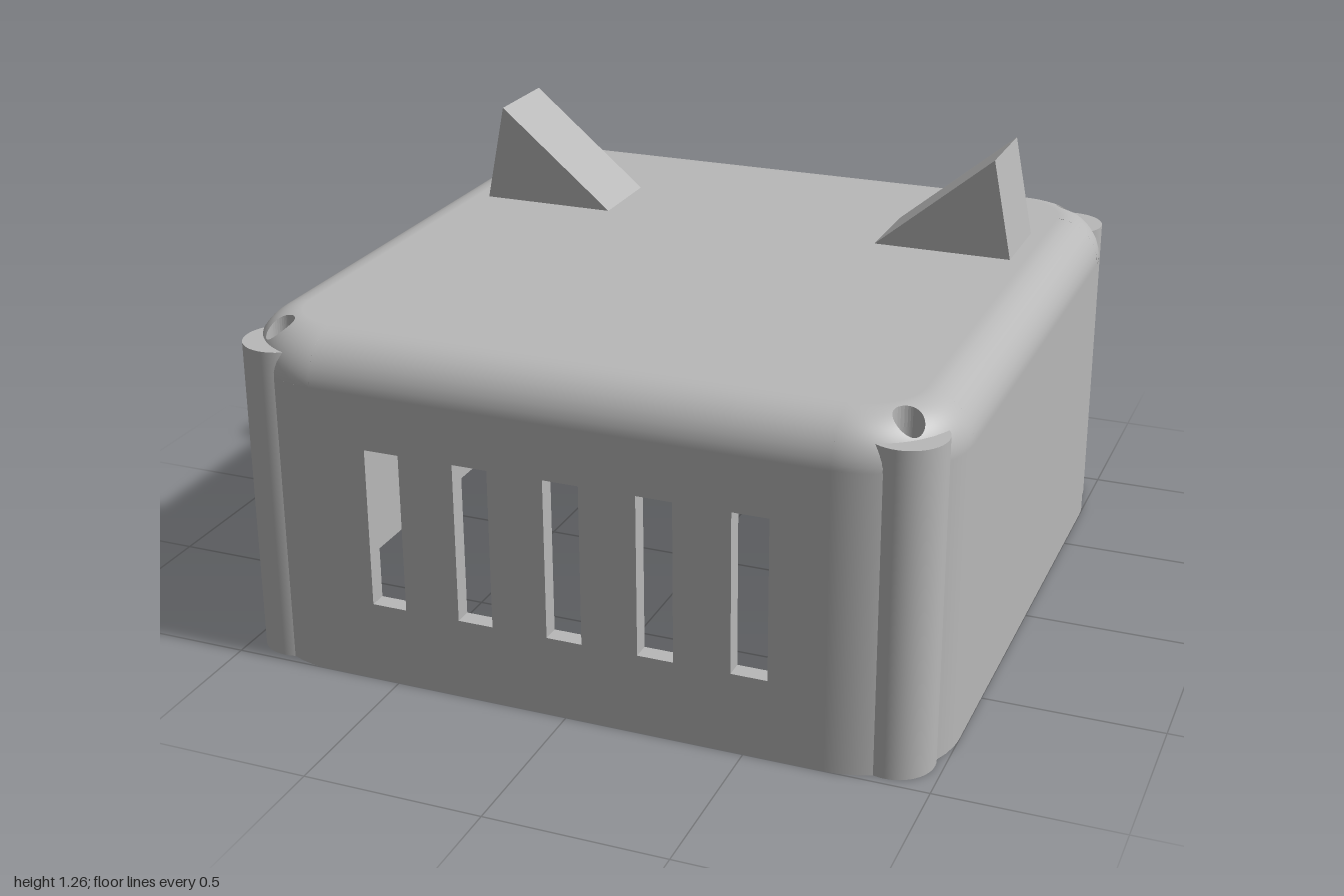
import * as THREE from 'three';
import { mergeGeometries } from 'three/addons/utils/BufferGeometryUtils.js';

const C = 0.72, R = 0.28, F = 0.13;          // corner centre, corner radius, top edge radius
const Y1 = 0.84, YC = 0.91, YT = 0.97;       // wall top, ceiling, roof
const T = 0.05;                              // wall thickness
const POST = 0.873, HOLE = 0.04;             // post centre, screw hole radius
const SLOT = { x: 0.45, z0: -0.945, z1: -0.902 };
const rad = Math.PI / 180;

const V = (x, y, z) => new THREE.Vector3(x, y, z);
const dir = (deg) => V(Math.sin(deg * rad), 0, Math.cos(deg * rad)); // 0 = front, 90 = +x

// Collects quads, with smooth normals if given and flat ones otherwise
function quadBuilder() {
  const pos = [], nor = [];
  return {
    quad(pts, normals) {
      const flat = pts[2].clone().sub(pts[0]).cross(pts[3].clone().sub(pts[1])).normalize();
      for (const i of [0, 1, 2, 0, 2, 3]) {
        pos.push(...pts[i].toArray());
        nor.push(...(normals ? normals[i] : flat).toArray());
      }
    },
    geometry() {
      const g = new THREE.BufferGeometry();
      g.setAttribute('position', new THREE.Float32BufferAttribute(pos, 3));
      g.setAttribute('normal', new THREE.Float32BufferAttribute(nor, 3));
      return g;
    },
  };
}

// Point on side k at distance t along it (t = 0 is the middle)
const sidePoint = (k, t, out) => dir(k * 90).multiplyScalar(out).addScaledVector(dir(k * 90 + 90), t);
const cornerCentre = (k) => sidePoint(k, C, C);

// Hollow walls, with front vents, side port, and gaps where the posts stand
function wallGeometry() {
  const b = quadBuilder();
  const ys = [0, 0.08, 0.23, 0.24, 0.685, Y1];
  const vents = [-2, -1, 0, 1, 2].map((i) => i * 0.2575);
  const breaks = [vents.flatMap((c) => [c - 0.05, c + 0.05]), [], [], [-0.47]];
  const arc = [0, 5, 10, 18, 26.5, 63.5, 72, 80, 85, 90];
  const ring = [];
  for (let k = 0; k < 4; k++) {
    for (const t of [-C, ...breaks[k]]) ring.push({ k, t, p: sidePoint(k, t, 1), n: dir(k * 90) });
    for (const a of arc.slice(0, -1)) {
      const n = dir(k * 90 + a);
      ring.push({ k, a, p: cornerCentre(k).addScaledVector(n, R), n });
    }
  }
  const N = ring.length;
  const solid = (i, j) => {
    if (j < 0) return false;
    if (j > ys.length - 2) return true;
    const { k, t, a } = ring[(i + N) % N];
    const y = (ys[j] + ys[j + 1]) / 2;
    if (a === 26.5) return false;
    if (k === 0 && a === undefined && y > 0.23 && y < 0.685 && vents.some((c) => Math.abs(t - c + 0.05) < 1e-6)) return false;
    const port = (k === 2 && a >= 80) || (k === 3 && t === -C);
    return !(port && y > 0.08 && y < 0.24);
  };
  const outer = (i, j) => ring[i % N].p.clone().setY(ys[j]);
  const inner = (i, j) => ring[i % N].p.clone().addScaledVector(ring[i % N].n, -T).setY(ys[j] === Y1 ? YC : ys[j]);
  for (let i = 0; i < N; i++) for (let j = 0; j < ys.length - 1; j++) {
    if (!solid(i, j)) continue;
    const n0 = ring[i].n, n1 = ring[(i + 1) % N].n, m0 = n0.clone().negate(), m1 = n1.clone().negate();
    const c = [[i, j], [i + 1, j], [i + 1, j + 1], [i, j + 1]];
    b.quad(c.map((q) => outer(...q)), [n0, n1, n1, n0]);
    b.quad([c[1], c[0], c[3], c[2]].map((q) => inner(...q)), [m1, m0, m0, m1]);
    // edges of openings and the bottom rim
    [[i, j - 1], [i + 1, j], [i, j + 1], [i - 1, j]].forEach((nb, e) => {
      if (solid(...nb)) return;
      const p = c[e], q = c[(e + 1) % 4];
      b.quad([outer(...q), outer(...p), inner(...p), inner(...q)]);
    });
  }
  return b.geometry();
}

// Rounded top edge with the rear slot and four screw holes
function edgeGeometry() {
  const b = quadBuilder();
  const slotA = Math.acos(1 - (1 + SLOT.z0) / F) / rad, slotB = Math.acos(1 - (1 + SLOT.z1) / F) / rad;
  const phis = [0, 11, 22, 33, 44, slotA, 65, slotB, 90];
  const ts = [-C, -SLOT.x, SLOT.x, C];
  const normal = (deg, phi) => dir(deg).multiplyScalar(Math.cos(phi * rad)).setY(Math.sin(phi * rad));
  const skirt = (p, q) => b.quad([p, q, q.clone().setY(YC), p.clone().setY(YC)]);

  for (let k = 0; k < 4; k++) {
    // straight run
    const P = (t, phi) => sidePoint(k, t, 1 - F + F * Math.cos(phi * rad)).setY(Y1 + F * Math.sin(phi * rad));
    for (let i = 0; i < 3; i++) for (let j = 0; j < phis.length - 1; j++) {
      const [t0, t1, f0, f1] = [ts[i], ts[i + 1], phis[j], phis[j + 1]];
      if (k === 2 && i === 1 && f0 >= slotA && f1 <= slotB) {
        skirt(P(t0, f0), P(t0, f1));
        skirt(P(t1, f1), P(t1, f0));
        if (f0 === slotA) skirt(P(t1, f0), P(t0, f0));
        if (f1 === slotB) skirt(P(t0, f1), P(t1, f1));
        continue;
      }
      const n0 = normal(k * 90, f0), n1 = normal(k * 90, f1);
      b.quad([P(t0, f0), P(t1, f0), P(t1, f1), P(t0, f1)], [n0, n0, n1, n1]);
    }

    // corner patch, spanned from its border to the screw hole
    const S = 12, K = 6, hr = (POST - C) * Math.SQRT2;
    const hc = Math.acos((hr - R + F) / F) / rad;
    const border = [];
    for (let i = 0; i < S; i++) border.push([90 * i / S, 0]);
    for (let i = 0; i < S; i++) border.push([90, 90 * i / S]);
    for (let i = 0; i < S; i++) border.push([90 - 90 * i / S, 90]);
    for (let i = 0; i < S; i++) border.push([0, 90 - 90 * i / S]);
    const rim = border.map(([th, ph]) => {
      const w = Math.atan2(ph - hc, th - 45);
      const u = hr - HOLE * Math.sin(w), v = HOLE * Math.cos(w);
      return [45 + Math.atan2(v, u) / rad, Math.acos((Math.hypot(u, v) - R + F) / F) / rad];
    });
    const at = (i, s) => {
      const m = i % border.length;
      const th = THREE.MathUtils.lerp(border[m][0], rim[m][0], s / K);
      const ph = THREE.MathUtils.lerp(border[m][1], rim[m][1], s / K);
      const p = cornerCentre(k).addScaledVector(dir(k * 90 + th), R - F + F * Math.cos(ph * rad));
      return { p: p.setY(Y1 + F * Math.sin(ph * rad)), n: normal(k * 90 + th, ph) };
    };
    for (let i = 0; i < border.length; i++) {
      for (let s = 0; s < K; s++) {
        const c = [at(i, s), at(i + 1, s), at(i + 1, s + 1), at(i, s + 1)];
        b.quad(c.map((q) => q.p), c.map((q) => q.n));
      }
      skirt(at(i + 1, K).p, at(i, K).p);
    }
  }
  return b.geometry();
}

// Flat top, a square with rounded corners
function topGeometry() {
  const s = new THREE.Shape(), r = R - F;
  s.absarc(C, C, r, 0, Math.PI / 2);
  s.absarc(-C, C, r, Math.PI / 2, Math.PI);
  s.absarc(-C, -C, r, Math.PI, Math.PI * 1.5);
  s.absarc(C, -C, r, Math.PI * 1.5, Math.PI * 2);
  return new THREE.ShapeGeometry(s, 12).rotateX(-Math.PI / 2).translate(0, YT, 0);
}

// Underside of the roof, notched round the posts
function ceilingGeometry() {
  const e = 1 - T, pts = [];
  for (let k = 0; k < 4; k++) {
    for (const [t, out] of [[0.8, e], [0.82, 0.82], [e, 0.8]]) {
      const p = sidePoint(k, t, out);
      pts.push(new THREE.Vector2(p.x, p.z));
    }
  }
  const s = new THREE.Shape(pts);
  const { x, z0, z1 } = SLOT;
  s.holes.push(new THREE.Path([[-x, z0], [-x, z1], [x, z1], [x, z0]].map((p) => new THREE.Vector2(...p))));
  return new THREE.ShapeGeometry(s).rotateX(Math.PI / 2).translate(0, YC, 0);
}

// Tubular post with a wide bore below a narrow screw hole
function postGeometry() {
  const prof = [[0.067, 0], [0.104, 0], [0.104, YC], [HOLE, YC], [HOLE, 0.8], [0.067, 0.8], [0.067, 0]]
    .map((p) => new THREE.Vector2(...p));
  return mergeGeometries(prof.slice(1).map((p, i) => new THREE.LatheGeometry([prof[i], p], 48)));
}

export function createModel() {
  const model = new THREE.Group();
  const grey = new THREE.MeshStandardMaterial({ color: 0xb8b8b8, side: THREE.DoubleSide });
  grey.name = 'plain grey';
  const add = (name, geometry) => {
    const mesh = new THREE.Mesh(geometry, grey);
    mesh.name = name;
    model.add(mesh);
    return mesh;
  };
  add('walls', wallGeometry());
  add('roundedTopEdge', edgeGeometry());
  add('topPanel', topGeometry());
  add('ceiling', ceilingGeometry());

  const post = postGeometry();
  for (const x of [-1, 1]) for (const z of [-1, 1]) add('cornerPost', post).position.set(x * POST, 0, z * POST);

  // Pointed ears, mirrored
  for (const side of [-1, 1]) {
    const shape = new THREE.Shape([[0.425, YT], [0.83, YT], [0.772, 1.26]].map(([x, y]) => new THREE.Vector2(side * x, y)));
    const ear = new THREE.ExtrudeGeometry(shape, { depth: 0.257, bevelEnabled: false });
    add(side > 0 ? 'leftEar' : 'rightEar', ear.translate(0, 0, -0.55));
  }
  return model;
}
